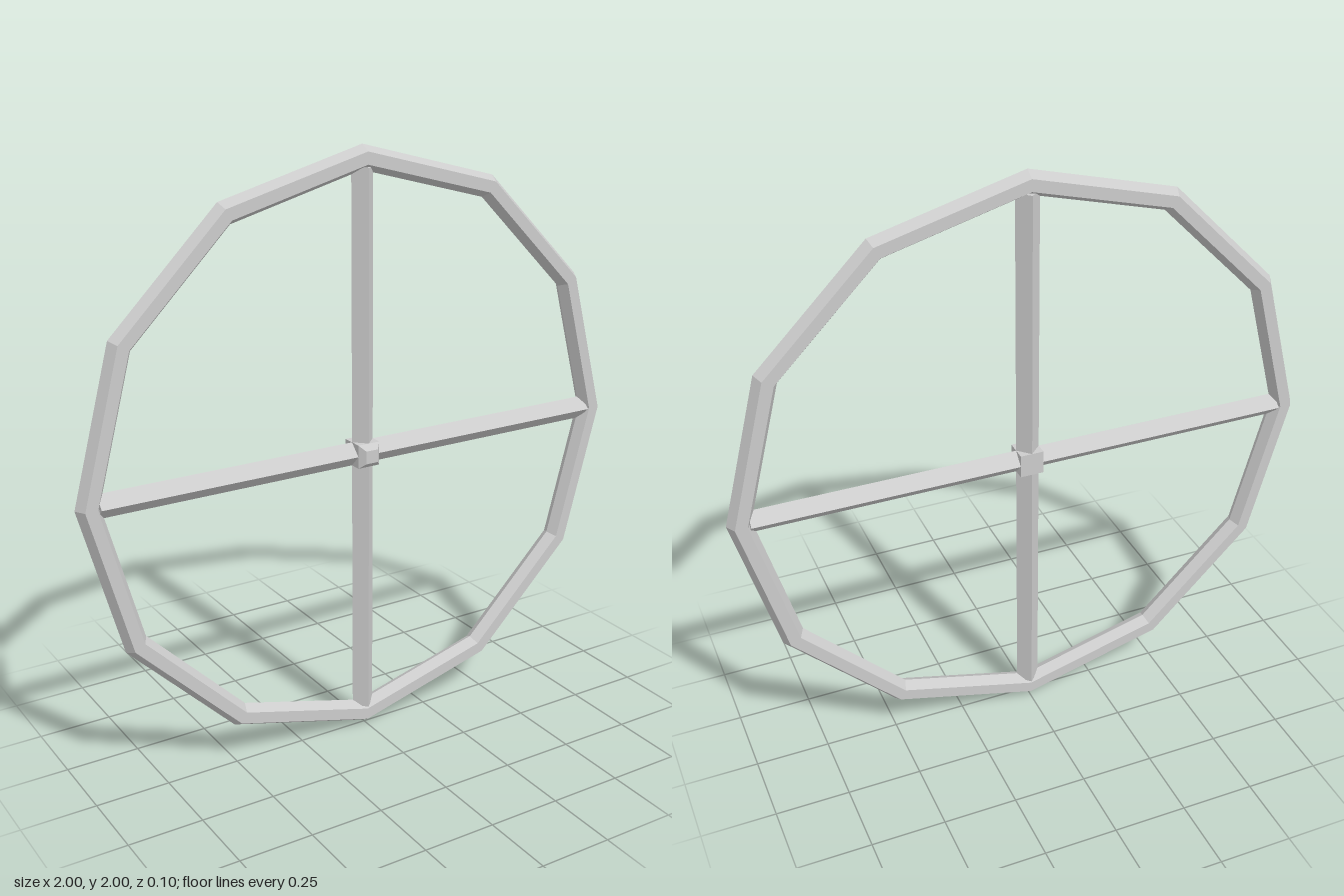
import * as THREE from 'three';

export function createModel() {
  const group = new THREE.Group();
  const material = new THREE.MeshStandardMaterial({ color: 0xcccccc, flatShading: true });
  const cy = 1, cz = -0.01; // centre of the wheel

  function add(name, geometry) {
    const mesh = new THREE.Mesh(geometry, material);
    mesh.name = name;
    mesh.position.set(0, cy, cz);
    group.add(mesh);
    return mesh;
  }

  // Twelve-sided rim with a hexagonal section
  add('rim', new THREE.TorusGeometry(0.96, 0.04, 6, 12));

  // Two crossing bars with a diamond section, ridge facing front and back
  const bar = new THREE.CylinderGeometry(0.04, 0.04, 1.86, 4);
  add('verticalSpoke', bar);
  add('horizontalSpoke', bar).rotation.z = Math.PI / 2;

  // Square hub block with a tapered cap on the front
  add('hub', new THREE.BoxGeometry(0.08, 0.08, 0.08));
  const cap = new THREE.CylinderGeometry(0.022 * Math.SQRT2, 0.04 * Math.SQRT2, 0.02, 4);
  cap.rotateY(Math.PI / 4).rotateX(Math.PI / 2);
  add('hubCap', cap).position.z = 0.04;

  return group;
}
